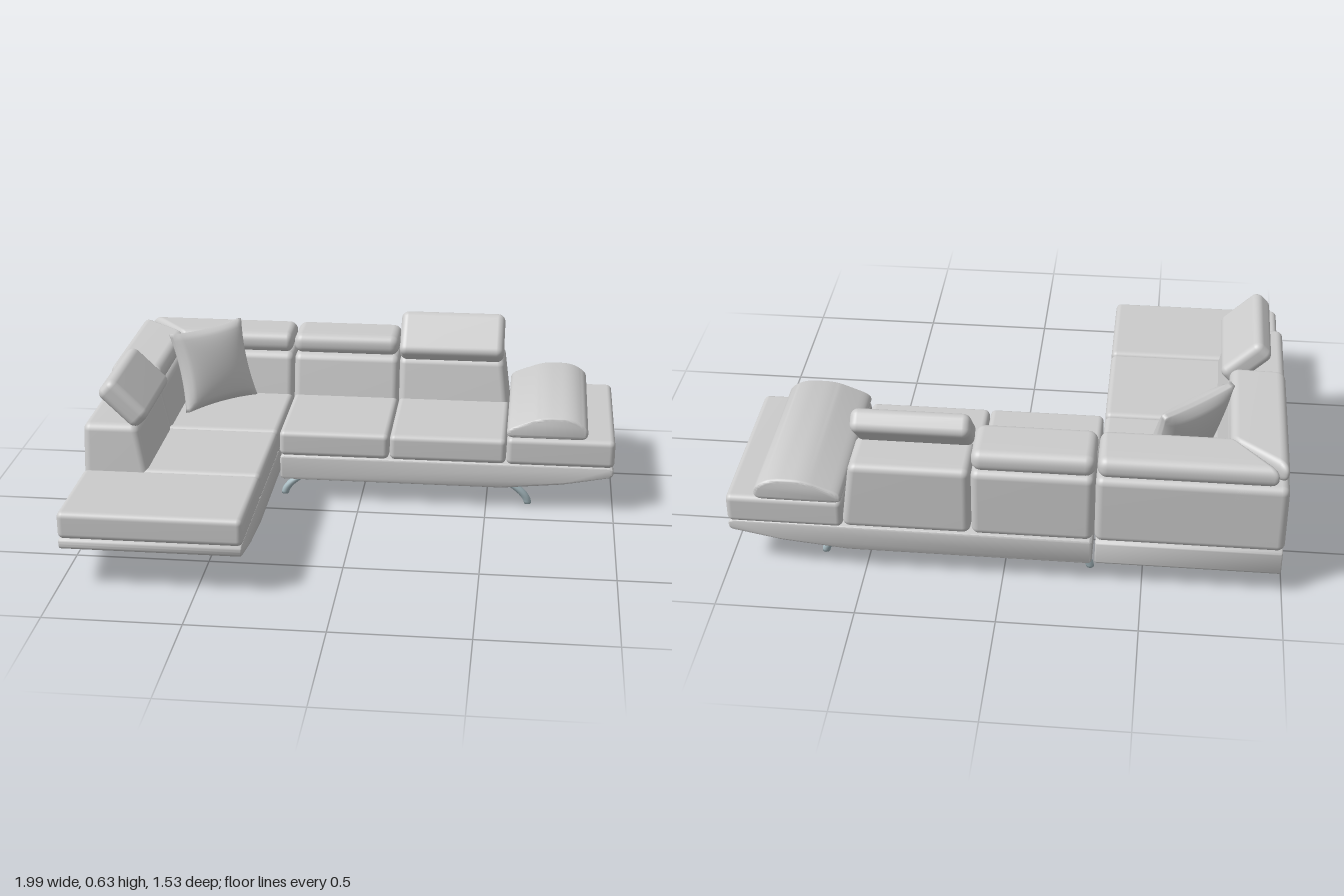
import * as THREE from 'three';
import { mergeVertices, toCreasedNormals } from 'three/addons/utils/BufferGeometryUtils.js';
import { RoundedBoxGeometry } from 'three/addons/geometries/RoundedBoxGeometry.js';

const fabric = new THREE.MeshStandardMaterial({ color: 0xcccccc });
const metal = new THREE.MeshStandardMaterial({ color: 0xa9bcc2 });

// Move every vertex by a rule, then smooth the normals
function deform(geometry, rule) {
  geometry.deleteAttribute('normal');
  geometry.deleteAttribute('uv');
  const g = mergeVertices(geometry, 1e-5);
  const pos = g.attributes.position;
  const p = new THREE.Vector3();
  for (let i = 0; i < pos.count; i++) {
    p.fromBufferAttribute(pos, i);
    rule(p);
    pos.setXYZ(i, p.x, p.y, p.z);
  }
  g.computeVertexNormals();
  return g;
}

// Upholstered block between two corners, with an optional rule
function softBox([x0, x1], [y0, y1], [z0, z1], r, rule = () => {}) {
  const g = new RoundedBoxGeometry(x1 - x0, y1 - y0, z1 - z0, 4, r);
  g.translate((x0 + x1) / 2, (y0 + y1) / 2, (z0 + z1) / 2);
  return deform(g, rule);
}

// Polygon with rounded corners, extruded with a soft rim
function softExtrude(points, r, depth, bevel) {
  const v = points.map(([x, y]) => new THREE.Vector2(x, y));
  const shape = new THREE.Shape();
  v.forEach((c, i) => {
    const a = v[(i + v.length - 1) % v.length], b = v[(i + 1) % v.length];
    const toward = (q) => c.clone().add(q.clone().sub(c).setLength(Math.min(r, q.distanceTo(c) * 0.45)));
    const s = toward(a), e = toward(b);
    if (i === 0) shape.moveTo(s.x, s.y); else shape.lineTo(s.x, s.y);
    shape.quadraticCurveTo(c.x, c.y, e.x, e.y);
  });
  shape.closePath();
  const g = new THREE.ExtrudeGeometry(shape, {
    depth: depth - 2 * bevel, bevelThickness: bevel, bevelSize: bevel,
    bevelOffset: -bevel, bevelSegments: 4, curveSegments: 6,
  });
  g.translate(0, 0, bevel);
  return toCreasedNormals(g, 0.75);
}

export function createModel() {
  const model = new THREE.Group();
  model.name = 'cornerSofa';
  const add = (name, geometry, material = fabric) => {
    const m = new THREE.Mesh(geometry, material);
    m.name = name;
    model.add(m);
    return m;
  };

  // Plinths with upswept ends
  const plinth = (start, bend, end) => [
    [start, 0.088], [bend, 0.088], [bend + (end - bend) * 0.55, 0.112],
    [end, 0.15], [end, 0.189], [start, 0.189],
  ];
  add('mainBase', softExtrude(plinth(-0.32, 0.56, 0.995), 0.018, 0.665, 0.008)).position.z = -0.757;
  const chaiseBase = add('chaiseBase', softExtrude(plinth(-0.757, 0.34, 0.763), 0.018, 0.662, 0.008));
  chaiseBase.rotation.y = -Math.PI / 2;
  chaiseBase.position.x = -0.33;

  // Seat cushions: x range, z range
  const seats = {
    chaiseSeat: [[-0.995, -0.326], [0.352, 0.763]],
    sideSeat: [[-0.8, -0.326], [-0.095, 0.35]],
    cornerSeat: [[-0.8, -0.326], [-0.56, -0.097]],
    middleSeat: [[-0.322, 0.113], [-0.56, -0.092]],
    rightSeat: [[0.116, 0.574], [-0.56, -0.092]],
    endSeat: [[0.576, 0.997], [-0.763, -0.09]],
  };
  for (const [name, [xs, zs]] of Object.entries(seats)) {
    add(name, softBox(xs, [0.187, name === 'endSeat' ? 0.3 : 0.291], zs, 0.022));
  }

  // Backrests lean away from the seats; free ends lean inward as well
  const lean = (y) => 0.055 * Math.max(0, (y - 0.25) / 0.21);
  const backRun = (x0, x1, freeEnd) => softBox([x0, x1], [0.187, 0.46], [-0.758, -0.497], 0.028, (p) => {
    if (p.z > -0.63) p.z -= lean(p.y);
    if (freeEnd && p.x > (x0 + x1) / 2) p.x -= 0.6 * lean(p.y);
  });
  const sideRun = (z0, z1, freeEnd) => softBox([-0.997, -0.737], [0.187, 0.46], [z0, z1], 0.028, (p) => {
    if (p.x > -0.87) p.x -= lean(p.y);
    if (freeEnd && p.z > (z0 + z1) / 2) p.z -= 0.6 * lean(p.y);
  });
  add('cornerBackrestRear', backRun(-0.997, -0.326, false));
  add('middleBackrest', backRun(-0.322, 0.113, false));
  add('rightBackrest', backRun(0.116, 0.578, true));
  add('cornerBackrestSide', sideRun(-0.758, -0.1, false));
  add('sideBackrest', sideRun(-0.096, 0.358, true));

  // Lowered headrests, mitred where they meet in the corner
  const low = [0.458, 0.54];
  add('middleHeadrest', softBox([-0.325, 0.112], low, [-0.757, -0.55], 0.036));
  add('cornerHeadrestRear', softBox([-0.975, -0.33], low, [-0.757, -0.55], 0.036, (p) => {
    p.x += ((-0.33 - p.x) / 0.645) * (p.z + 0.757) * 0.88;
  }));
  add('cornerHeadrestSide', softBox([-0.992, -0.785], low, [-0.742, -0.098], 0.036, (p) => {
    p.z += ((-0.098 - p.z) / 0.644) * (p.x + 0.992) * 0.88;
  }));

  // Raised, tilted headrests
  const rearRaised = add('raisedHeadrestRear',
    softBox([-0.214, 0.214], [-0.1, 0.1], [-0.044, 0.044], 0.03));
  rearRaised.position.set(0.331, 0.537, -0.607);
  rearRaised.rotation.x = -0.8;
  const sideRaised = add('raisedHeadrestSide',
    softBox([-0.044, 0.044], [-0.1, 0.1], [-0.206, 0.206], 0.03));
  sideRaised.position.set(-0.845, 0.537, 0.117);
  sideRaised.rotation.z = 0.8;

  // Loaf-shaped arm cushion
  add('armCushion', softExtrude([
    [0.575, 0.297], [0.89, 0.297], [0.89, 0.35], [0.825, 0.387], [0.71, 0.387], [0.575, 0.335],
  ], 0.04, 0.665, 0.012)).position.z = -0.767;

  // Throw pillow with pinched sides and a full middle
  const pillow = deform(new THREE.BoxGeometry(2, 2, 2, 20, 20, 4), (p) => {
    const { x: u, y: v } = p;
    const full = Math.pow(Math.max(0, (1 - u * u) * (1 - v * v)), 0.45);
    p.x = u * 0.17 * (1 - 0.09 * (1 - v * v));
    p.y = v * 0.162 * (1 - 0.07 * (1 - u * u));
    p.z *= 0.012 + 0.05 * full;
  });
  pillow.rotateX(-0.33).rotateY(Math.PI / 4);
  add('throwPillow', pillow).position.set(-0.634, 0.45, -0.4);

  // Tapered legs curving out to the foot
  const legGeometry = deform(new THREE.CylinderGeometry(0.026, 0.014, 0.1, 16, 10), (p) => {
    const t = THREE.MathUtils.clamp((p.y + 0.05) / 0.1, 0, 1);
    p.x += 0.1 * (1 - Math.pow(t, 1.8));
    p.y = 0.1 * t;
  });
  const legs = [ // top x, top z, heading of the foot
    [0.565, -0.16, 0], [0.565, -0.655, 0],
    [-0.21, -0.16, Math.PI], [-0.21, -0.655, Math.PI],
    [-0.93, 0.335, -Math.PI / 2], [-0.405, 0.335, -Math.PI / 2],
  ];
  for (const [x, z, heading] of legs) {
    const leg = add('leg', legGeometry, metal);
    leg.position.set(x, 0, z);
    leg.rotation.y = heading;
  }
  return model;
}
